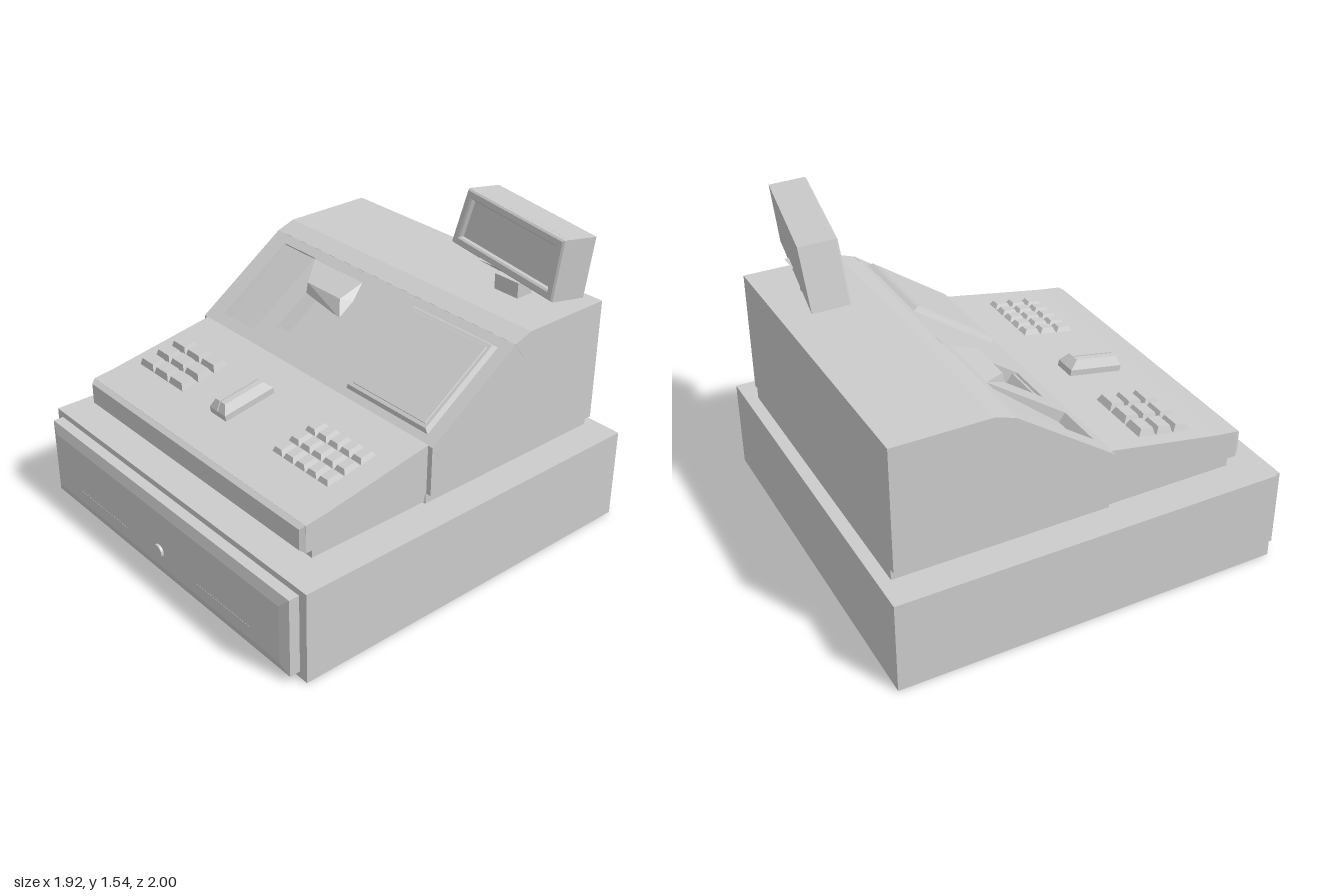
import * as THREE from 'three';
import { ConvexGeometry } from 'three/addons/geometries/ConvexGeometry.js';

const mat = new THREE.MeshStandardMaterial({ color: 0xcccccc, flatShading: true });

function add(parent, name, geo, x = 0, y = 0, z = 0) {
  const m = new THREE.Mesh(geo, mat);
  m.name = name;
  m.position.set(x, y, z);
  parent.add(m);
  return m;
}

// box given by its min and max on each axis
function block(parent, name, x0, x1, y0, y1, z0, z1) {
  return add(parent, name, new THREE.BoxGeometry(x1 - x0, y1 - y0, z1 - z0),
    (x0 + x1) / 2, (y0 + y1) / 2, (z0 + z1) / 2);
}

// box standing on y = 0 whose top is drawn in by inset on every side
function taper(w, h, d, inset) {
  const g = new THREE.BoxGeometry(w, h, d).translate(0, h / 2, 0);
  const p = g.attributes.position;
  for (let i = 0; i < p.count; i++) {
    if (p.getY(i) < h / 2) continue;
    p.setX(i, p.getX(i) * (1 - 2 * inset / w));
    p.setZ(i, p.getZ(i) * (1 - 2 * inset / d));
  }
  g.computeVertexNormals();
  return g;
}
const facingFront = (g) => g.rotateX(Math.PI / 2);

// side profile of [z, y] points swept across the width
function sweep(points, halfWidth) {
  const s = new THREE.Shape(points.map(([z, y]) => new THREE.Vector2(-z, y)));
  return new THREE.ExtrudeGeometry(s, { depth: 2 * halfWidth, bevelEnabled: false })
    .translate(0, 0, -halfWidth).rotateY(Math.PI / 2);
}

const polygon = (pts) => pts.map(([x, y]) => new THREE.Vector2(x, y));
const rect = (x0, x1, y0, y1) => polygon([[x0, y0], [x1, y0], [x1, y1], [x0, y1]]);

function buildDrawer(root) {
  const g = new THREE.Group();
  g.name = 'cashDrawer';
  root.add(g);
  block(g, 'drawerCabinet', -0.96, 0.96, 0, 0.455, -1, 0.92);
  block(g, 'drawerFront', -0.918, 0.914, 0.032, 0.425, 0.92, 0.972);
  add(g, 'drawerFrontBevel', facingFront(taper(1.832, 0.016, 0.393, 0.05)), -0.002, 0.2285, 0.972);
  add(g, 'drawerLock', facingFront(new THREE.CylinderGeometry(0.032, 0.038, 0.03, 20)), -0.005, 0.165, 0.985);
  for (const s of [-1, 1])
    block(g, 'drawerGroove', s * 0.47 - 0.197, s * 0.47 + 0.197, 0.144, 0.147, 0.98, 0.989);
}

function buildHousing(root) {
  const g = new THREE.Group();
  g.name = 'housing';
  root.add(g);
  block(g, 'plinth', -0.8, 0.8, 0.455, 0.51, -0.94, 0.115);
  block(g, 'keyboardPlinth', -0.795, 0.795, 0.465, 0.51, 0.115, 0.755);
  add(g, 'body', sweep([[0.115, 0.51], [0.115, 0.755], [0.064, 0.681], [-0.421, 1.016],
    [-0.37, 1.09], [-0.465, 1.123], [-0.94, 1.123], [-0.94, 0.51]], 0.83));
  add(g, 'keyboardBody', sweep([[0.1, 0.51], [0.1, 0.755], [0.115, 0.757], [0.675, 0.66],
    [0.792, 0.645], [0.792, 0.51]], 0.803));
  add(g, 'keyboardFrontTrim', facingFront(taper(1.606, 0.024, 0.135, 0.016)), 0, 0.5775, 0.791);
}

function buildSlope(root) {
  // local y runs up the slope, local z points out of it
  const g = new THREE.Group();
  g.name = 'slopingPanel';
  g.position.set(0, 0.755, 0.115);
  g.rotation.x = Math.atan2(0.335, 0.485) - Math.PI / 2;
  root.add(g);
  const face = new THREE.Shape(rect(-0.83, 0.83, 0, 0.589));
  face.holes.push(new THREE.Path(rect(-0.728, -0.487, 0.061, 0.54)));
  face.holes.push(new THREE.Path(rect(-0.375, -0.135, 0.12, 0.4)));
  add(g, 'slopeFace', new THREE.ExtrudeGeometry(face, { depth: 0.09, bevelEnabled: false }), 0, 0, -0.09);

  // recess floor sinks towards its lower end
  const floor = add(g, 'recessFloor', new THREE.BoxGeometry(0.24, 0.48, 0.01), -0.6075, 0.3, -0.036);
  floor.rotation.x = 0.085;
  // shallow lip at the foot of the printer opening
  block(g, 'printerLip', -0.375, -0.135, 0.12, 0.145, -0.09, -0.012);
  // operator screen
  add(g, 'operatorScreen', facingFront(taper(0.535, 0.022, 0.5, 0.013)), 0.495, 0.292, 0);
  add(g, 'operatorScreenGlass', facingFront(taper(0.475, 0.003, 0.44, 0.002)), 0.495, 0.292, 0.022);

  // hood over the printer opening
  const yAt = (z) => 0.755 + (0.115 - z) * 0.335 / 0.485;
  const p = (x, z, y = yAt(z) - 0.002) => new THREE.Vector3(x, y, z);
  add(root, 'printerHood', new ConvexGeometry([
    p(-0.487, -0.33), p(-0.125, -0.33), p(-0.09, -0.24), p(-0.09, -0.15),
    p(-0.375, -0.18), p(-0.135, -0.18),
    p(-0.375, -0.19, 1.01), p(-0.135, -0.19, 1.01),
  ]));
}

function buildKeyboard(root) {
  const g = new THREE.Group();
  g.name = 'keyboard';
  g.position.set(0, 0.757, 0.115);
  g.rotation.x = Math.atan2(0.097, 0.56);
  root.add(g);
  const keypad = (name, x0, x1, cols, height) => {
    const pad = new THREE.Group();
    pad.name = name;
    g.add(pad);
    const px = (x1 - x0) / cols, pz = 0.094;
    for (let r = 0; r < 3; r++)
      for (let c = 0; c < cols; c++)
        add(pad, 'key', taper(px - 0.006, height, pz - 0.006, 0.013),
          x0 + px * (c + 0.5), -0.002, 0.187 + pz * (r + 0.5));
  };
  keypad('leftKeypad', -0.733, -0.372, 3, 0.036);
  keypad('rightKeypad', 0.302, 0.685, 5, 0.026);

  // card reader: two ridges with a slot between them
  const reader = block(g, 'cardReaderBase', -0.138, -0.022, -0.005, 0.03, 0.19, 0.472);
  for (const s of [-1, 1])
    add(g, 'cardReaderRidge', new ConvexGeometry([0.004, 0.058].flatMap((x) => [
      new THREE.Vector3(s * x, 0, -0.141), new THREE.Vector3(s * x, 0, 0.141),
      new THREE.Vector3(s * (x > 0.01 ? 0.036 : x), 0.042, -0.105),
      new THREE.Vector3(s * (x > 0.01 ? 0.036 : x), 0.042, 0.115),
    ])), reader.position.x, 0.03, reader.position.z);
}

function buildDisplay(root) {
  // stand: neck with a flared head
  block(root, 'displayNeck', 0.42, 0.565, 1.12, 1.2, -0.755, -0.66);
  add(root, 'displayNeckFlare', taper(0.31, 0.06, 0.17, 0.08).rotateX(Math.PI), 0.495, 1.255, -0.707);

  const g = new THREE.Group();
  g.name = 'customerDisplay';
  g.position.set(0.48, 1.247, -0.615);
  g.rotation.set(-0.1, -0.18, 0, 'YXZ');
  root.add(g);
  // skewed outline, drawn in by i on all sides
  const outline = (i) => polygon([[-0.385 + 1.3 * i, i], [0.385 - i, i],
    [0.4 - i, 0.292 - i], [-0.31 + i * 0.8, 0.292 - i]]);
  add(g, 'displayCase', new THREE.ExtrudeGeometry(new THREE.Shape(outline(0)),
    { depth: 0.15, bevelEnabled: false }), 0, 0, -0.18);
  const frame = new THREE.Shape(outline(0.008));
  frame.holes.push(new THREE.Path(outline(0.036)));
  add(g, 'displayFrame', new THREE.ExtrudeGeometry(frame, { depth: 0.022, steps: 1,
    bevelEnabled: true, bevelThickness: 0.008, bevelSize: 0.008, bevelSegments: 1 }), 0, 0, -0.03);
}

export function createModel() {
  const root = new THREE.Group();
  root.name = 'cashRegister';
  buildDrawer(root);
  buildHousing(root);
  buildSlope(root);
  buildKeyboard(root);
  buildDisplay(root);
  return root;
}
